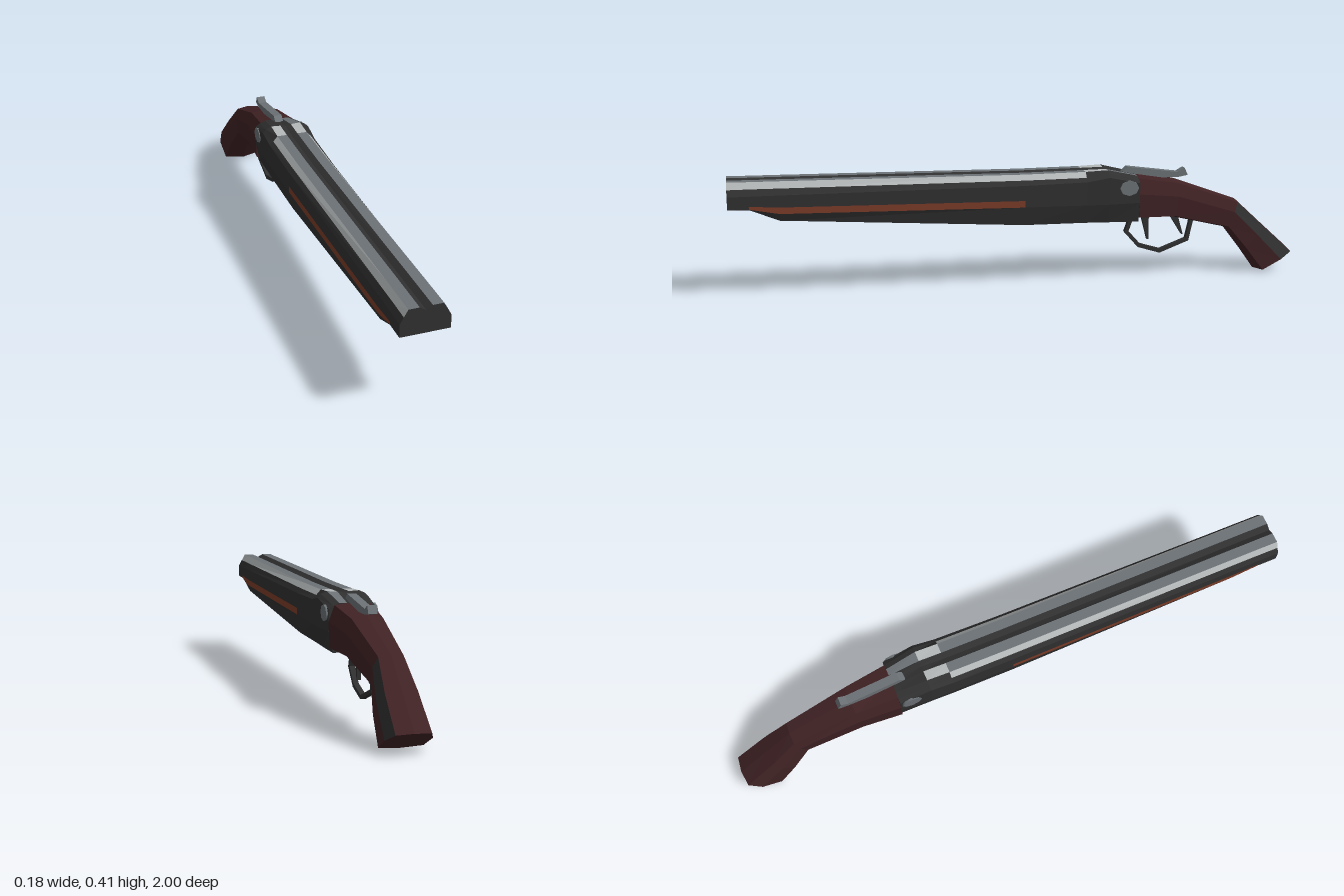
import * as THREE from 'three';

const mat = (name, color) => Object.assign(new THREE.MeshStandardMaterial({ color }), { name });

// Mirrors a half section (bottom centre to top centre) into a full loop
const mirrored = (half, cx) => [
  ...half.map(([x, y, z]) => new THREE.Vector3(cx + x, y, z)),
  ...half.slice(1, -1).reverse().map(([x, y, z]) => new THREE.Vector3(cx - x, y, z)),
];

// Faceted skin over rings running front to back; pick(segment, strip, isLeft) gives a material index
function loft(name, rings, mats, pick) {
  const n = rings[0].length;
  const buckets = mats.map(() => []);
  const add = (m, ...pts) => pts.forEach((p) => buckets[m].push(p.x, p.y, p.z));
  for (let i = 0; i < rings.length - 1; i++) {
    for (let j = 0; j < n; j++) {
      const left = j < n / 2;
      const m = pick(i, left ? j : n - 1 - j, left);
      const a = rings[i][j], b = rings[i][(j + 1) % n];
      const c = rings[i + 1][(j + 1) % n], d = rings[i + 1][j];
      add(m, a, d, c, a, c, b);
    }
  }
  const cap = (ring, flip) => {
    const flat = ring.map((p) => new THREE.Vector2(p.x, p.y));
    for (const [a, b, c] of THREE.ShapeUtils.triangulateShape(flat, [])) {
      if (flip) add(0, ring[a], ring[c], ring[b]);
      else add(0, ring[a], ring[b], ring[c]);
    }
  };
  cap(rings[0], false);
  cap(rings[rings.length - 1], true);

  const geo = new THREE.BufferGeometry();
  geo.setAttribute('position', new THREE.Float32BufferAttribute(buckets.flat(), 3));
  let start = 0;
  buckets.forEach((b, m) => {
    if (b.length) geo.addGroup(start, b.length / 3, m);
    start += b.length / 3;
  });
  geo.computeVertexNormals();
  const mesh = new THREE.Mesh(geo, mats);
  mesh.name = name;
  return mesh;
}

// Side profile in (-z, y), extruded across the width
function profile(name, pts, width, material, hole) {
  const shape = new THREE.Shape(pts.map(([u, y]) => new THREE.Vector2(u, y)));
  if (hole) shape.holes.push(new THREE.Path(hole.map(([u, y]) => new THREE.Vector2(u, y))));
  const geo = new THREE.ExtrudeGeometry(shape, { depth: width, bevelEnabled: false });
  geo.translate(0, 0, -width / 2).rotateY(Math.PI / 2);
  const mesh = new THREE.Mesh(geo, material);
  mesh.name = name;
  return mesh;
}

export function createModel() {
  const model = new THREE.Group();
  const steel = mat('dark steel', 0x303030);
  const grey = mat('worn grey', 0x6c7276);
  const silver = mat('bright silver', 0xb4b8b9);
  const wood = mat('dark wood', 0x402224);
  const redWood = mat('red wood', 0x7c3c28);

  // Barrels, fore-end and receiver: z, centre x, bottom [w, y], side width,
  // stripe low and high, side top, then bevel, crown outer, crown inner, valley
  const bodyStations = [
    [1.0, -0.012, [0.079, 0.316], 0.08, 0.317, 0.318, 0.36, [0.068, 0.382], [0.055, 0.405], [0.02, 0.405], 0.393],
    [0.93, -0.011, [0.077, 0.314], 0.08, 0.316, 0.326, 0.36, [0.068, 0.382], [0.055, 0.404], [0.02, 0.404], 0.392],
    [0.83, -0.01, [0.07, 0.272], 0.08, 0.297, 0.319, 0.36, [0.068, 0.381], [0.055, 0.403], [0.02, 0.403], 0.391],
    [0.0, -0.002, [0.07, 0.217], 0.083, 0.282, 0.305, 0.358, [0.07, 0.374], [0.055, 0.392], [0.02, 0.392], 0.383],
    [-0.22, 0.001, [0.07, 0.215], 0.085, 0.28, 0.3, 0.362, [0.071, 0.375], [0.055, 0.393], [0.02, 0.393], 0.385],
    [-0.3, 0.003, [0.069, 0.213], 0.087, 0.28, 0.3, 0.375, [0.075, 0.387], [0.055, 0.396], [0.02, 0.394], 0.39],
    [-0.41, 0.003, [0.067, 0.21], 0.081, 0.28, 0.3, 0.35, [0.065, 0.361], [0.045, 0.37], [0.02, 0.37], 0.37],
  ];
  const bodyRings = bodyStations.map(([z, cx, bottom, w, lo, hi, top, bevel, outer, inner, valley]) =>
    mirrored([[0, bottom[1]], bottom, [w, lo], [w, hi], [w, top], bevel, outer, inner, [0, valley]]
      .map(([x, y]) => [x, y, z]), cx));
  model.add(loft('barrelsAndReceiver', bodyRings, [steel, grey, silver, wood, redWood], (seg, strip, left) => {
    if (strip === 0) return seg === 0 ? 0 : seg < 3 ? 4 : 3; // underside
    if (strip === 2 && (seg === 1 || seg === 2)) return 4; // wooden side stripe
    if (strip === 5 && seg < 4) return 2; // polished barrel edge
    if (strip === 6 && seg < 4) return 1; // barrel crown
    if (strip === 6 && seg === 4) return 2; // breech end
    if (strip === 6 && seg === 5 && left) return 1;
    return 0;
  }));

  // Pistol grip: top [z, y], bottom [z, y], half width
  const gripStations = [
    [[-0.41, 0.372], [-0.41, 0.21], 0.082],
    [[-0.56, 0.346], [-0.55, 0.208], 0.068],
    [[-0.79, 0.262], [-0.75, 0.16], 0.053],
    [[-0.89, 0.17], [-0.81, 0.083], 0.068],
    [[-1.0, 0.07], [-0.87, 0.0], 0.073],
  ];
  const gripRings = gripStations.map(([t, b, w]) =>
    mirrored([[0, 0], [0.95, 0.1], [1, 0.62], [0.75, 0.95], [0, 1]].map(([x, f]) =>
      [x * w, b[1] + (t[1] - b[1]) * f, b[0] + (t[0] - b[0]) * f]), 0.003));
  model.add(loft('grip', gripRings, [wood, steel], (seg, strip, left) =>
    (left && strip === 2 && seg >= 2 ? 1 : 0)));

  // Trigger guard and two triggers
  model.add(profile('triggerGuard',
    [[0.4, 0.22], [0.378, 0.158], [0.43, 0.1], [0.51, 0.075], [0.618, 0.115], [0.64, 0.215]], 0.018, steel,
    [[0.412, 0.214], [0.393, 0.161], [0.437, 0.112], [0.512, 0.089], [0.607, 0.124], [0.625, 0.206]]));
  model.add(profile('frontTrigger', [[0.44, 0.215], [0.463, 0.128], [0.468, 0.128], [0.468, 0.215]], 0.014, steel));
  model.add(profile('rearTrigger', [[0.545, 0.215], [0.592, 0.14], [0.597, 0.14], [0.575, 0.215]], 0.014, steel));

  // Opening lever on top
  model.add(profile('topLever',
    [[0.36, 0.375], [0.385, 0.396], [0.57, 0.37], [0.595, 0.384], [0.607, 0.358], [0.57, 0.352], [0.4, 0.355]],
    0.03, grey));

  // Hinge discs on the receiver sides
  for (const side of [1, -1]) {
    const disc = new THREE.Mesh(new THREE.CylinderGeometry(0.034, 0.034, 0.009, 8), grey);
    disc.name = side > 0 ? 'leftHingeDisc' : 'rightHingeDisc';
    disc.rotation.z = Math.PI / 2;
    disc.scale.x = 0.8;
    disc.position.set(0.003 + side * 0.083, 0.335, -0.37);
    model.add(disc);
  }
  return model;
}
